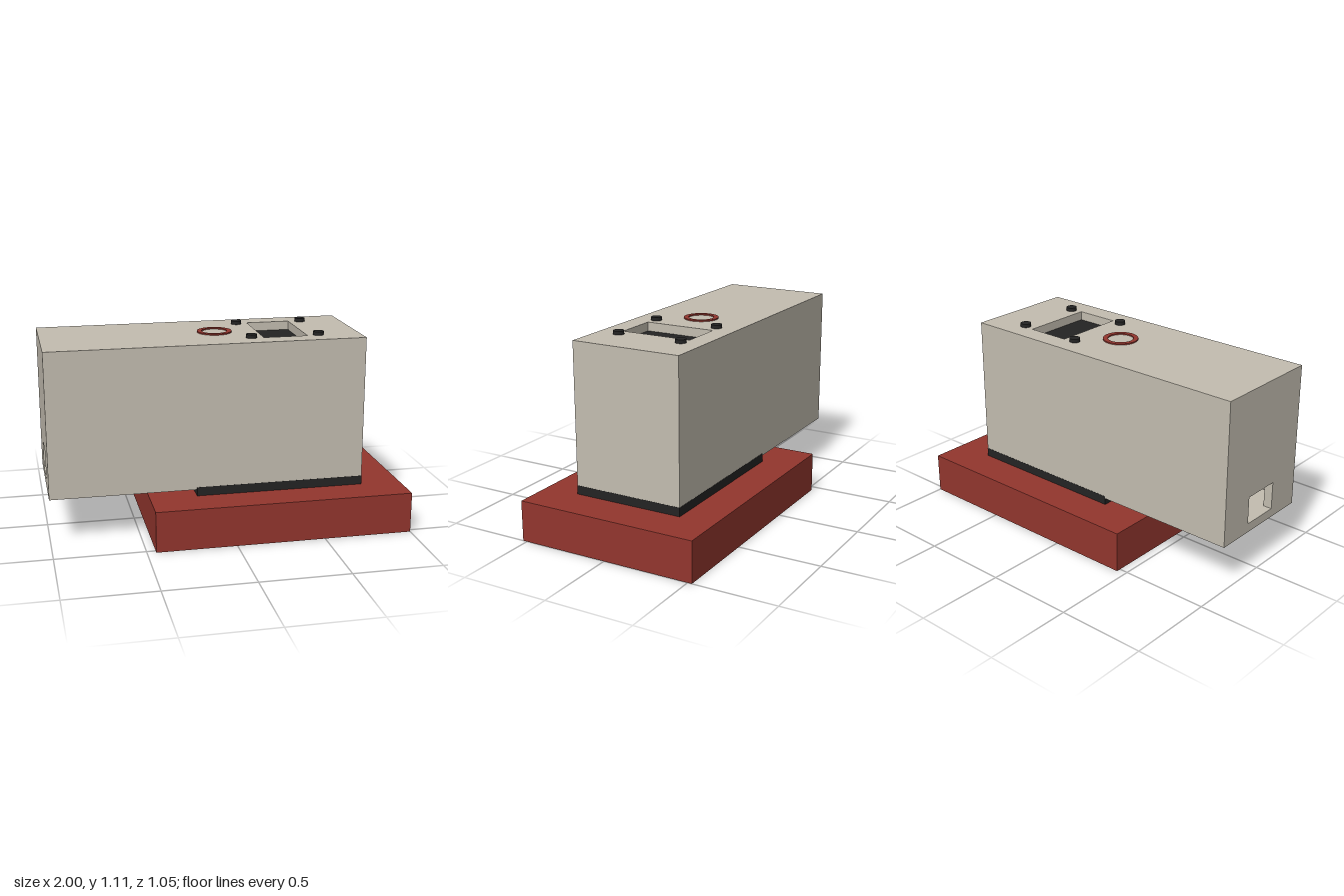
import * as THREE from 'three';

const mat = (name, color) => {
  const m = new THREE.MeshStandardMaterial({ color });
  m.name = name;
  return m;
};

export function createModel() {
  const model = new THREE.Group();
  model.name = 'deviceOnBase';
  const beige = mat('warmGrey', 0xc4beb1);
  const red = mat('brickRed', 0x93362e);
  const black = mat('black', 0x242424);

  const add = (parent, name, geometry, material) => {
    const mesh = new THREE.Mesh(geometry, material);
    mesh.name = name;
    parent.add(mesh);
    return mesh;
  };
  // Box given by its limits on each axis
  const box = (parent, name, material, [x0, x1], [y0, y1], [z0, z1]) => {
    const g = new THREE.BoxGeometry(x1 - x0, y1 - y0, z1 - z0);
    g.translate((x0 + x1) / 2, (y0 + y1) / 2, (z0 + z1) / 2);
    return add(parent, name, g, material);
  };
  // Flat panel in XY with a rectangular opening, extruded along +z
  const panel = ([u0, u1], [v0, v1], [a0, a1], [b0, b1], depth) => {
    const rect = (P, l, r, b, t) => new P([[l, b], [r, b], [r, t], [l, t]].map(p => new THREE.Vector2(...p)));
    const shape = rect(THREE.Shape, u0, u1, v0, v1);
    shape.holes.push(rect(THREE.Path, a0, a1, b0, b1));
    return new THREE.ExtrudeGeometry(shape, { depth, bevelEnabled: false });
  };

  // Base slab and spacer pad
  box(model, 'base', red, [-0.45, 1], [0, 0.231], [-0.525, 0.525]);
  box(model, 'spacerPad', black, [-0.185, 0.771], [0.231, 0.281], [-0.321, 0.321]);

  // Hollow housing
  const housing = new THREE.Group();
  housing.name = 'housing';
  model.add(housing);
  const L = -1, R = 0.77, B = 0.268, T = 1.087, W = 0.32, t = 0.05;
  const wallY = [B + t, T - t];

  const top = panel([L, R], [-W, W], [0.215, 0.465], [-0.206, 0.206], t);
  top.rotateX(-Math.PI / 2).translate(0, T - t, 0);
  add(housing, 'topPanel', top, beige);
  box(housing, 'floorPanel', beige, [L, R], [B, B + t], [-W, W]);
  box(housing, 'frontWall', beige, [L, R], wallY, [W - t, W]);
  box(housing, 'backWall', beige, [L, R], wallY, [-W, -W + t]);
  box(housing, 'leftWall', beige, [R - t, R], wallY, [-W + t, W - t]);

  // End wall with the cable opening
  const end = panel([-W + t, W - t], wallY, [-0.11, 0.11], [B + t + 0.001, 0.477], t);
  end.rotateY(-Math.PI / 2).translate(L + t, 0, 0);
  add(housing, 'portWall', end, beige);
  box(housing, 'portInnerStrip', black, [L + t, L + t + 0.008], [0.445, 0.49], [-0.12, 0.12]);

  // Screen set below the top opening
  box(model, 'screen', black, [0.2, 0.48], [T - t - 0.02, T - t - 0.002], [-0.22, 0.22]);

  // Four studs around the screen
  for (const x of [0.148, 0.531]) {
    for (const z of [-0.192, 0.192]) {
      const stud = add(model, 'stud', new THREE.CylinderGeometry(0.03, 0.03, 0.025, 32), black);
      stud.position.set(x, T + 0.0075, z);
    }
  }

  // Thin ring marker
  const disc = new THREE.Shape().absarc(0, 0, 0.098, 0, Math.PI * 2, false);
  disc.holes.push(new THREE.Path().absarc(0, 0, 0.071, 0, Math.PI * 2, true));
  const ring = new THREE.ExtrudeGeometry(disc, { depth: 0.007, bevelEnabled: false, curveSegments: 48 });
  ring.rotateX(-Math.PI / 2).translate(-0.022, T, 0);
  add(model, 'ringMarker', ring, red);

  return model;
}
